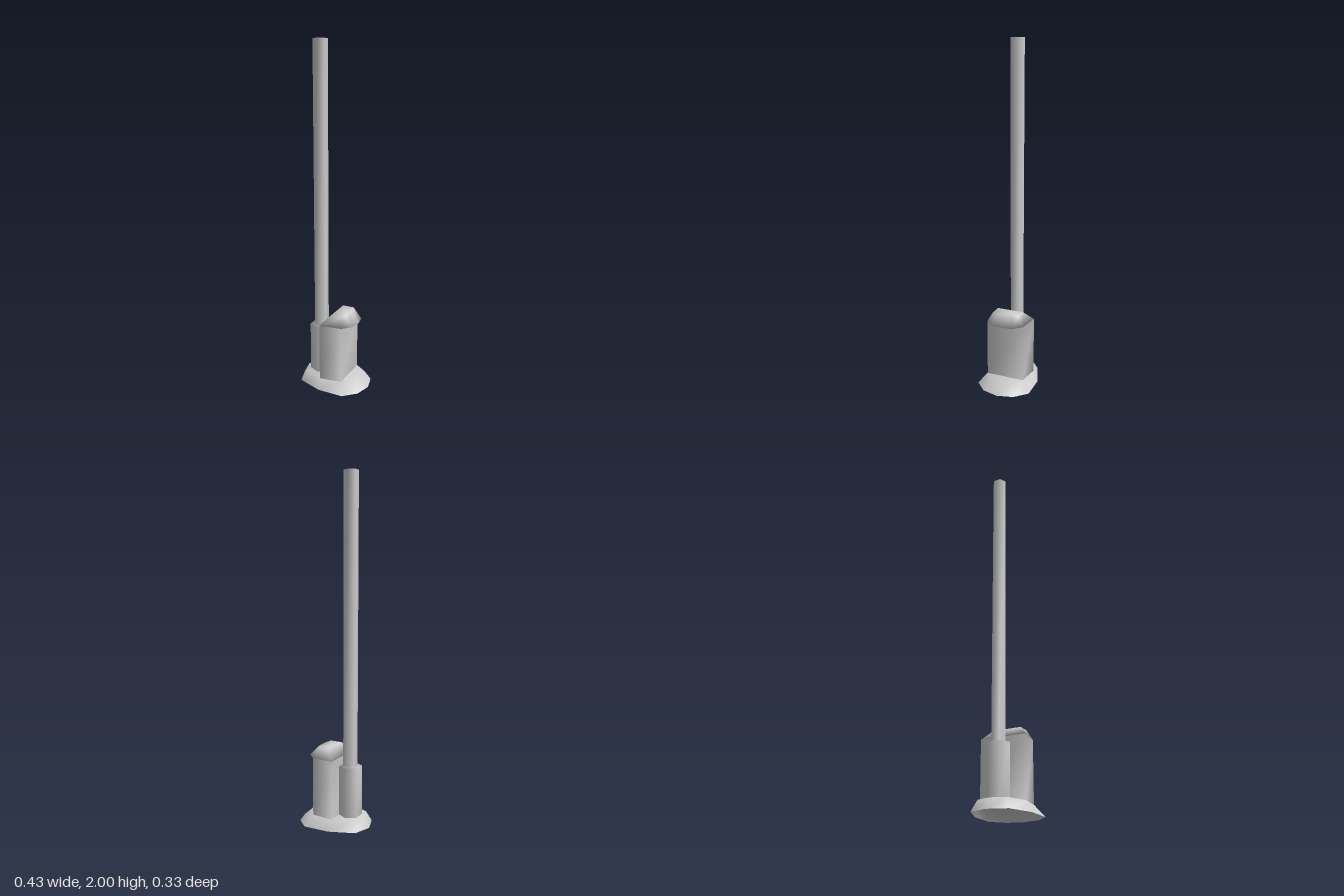
import * as THREE from 'three';
import { mergeVertices } from 'three/addons/utils/BufferGeometryUtils.js';

const material = new THREE.MeshStandardMaterial({ color: 0xcccccc, side: THREE.DoubleSide });

function part(name, geometry) {
  const mesh = new THREE.Mesh(geometry, material);
  mesh.name = name;
  return mesh;
}

// Mirror a half outline of [x, z] points (from -x round +z to +x) into a full ring
function mirrored(half) {
  const back = half.filter(([, z]) => z > 0).reverse().map(([x, z]) => [x, -z]);
  return [...half, ...back];
}

// Join horizontal rings { y, half } from bottom to top, with optional fan caps
function loft(levels, { top = true, bottom = false } = {}) {
  const rings = levels.map(({ half }) => mirrored(half));
  const n = rings[0].length;
  const positions = [];
  const index = [];
  rings.forEach((ring, k) => ring.forEach(([x, z]) => positions.push(x, levels[k].y, z)));
  for (let k = 0; k < rings.length - 1; k++) {
    for (let i = 0; i < n; i++) {
      const a = k * n + i, b = k * n + (i + 1) % n;
      index.push(a, b, b + n, a, b + n, a + n);
    }
  }
  const cap = (k, up) => {
    const centre = positions.length / 3;
    const xs = rings[k].map(([x]) => x);
    positions.push((Math.min(...xs) + Math.max(...xs)) / 2, levels[k].y, 0);
    for (let i = 0; i < n; i++) {
      const a = k * n + i, b = k * n + (i + 1) % n;
      index.push(centre, up ? a : b, up ? b : a);
    }
  };
  if (top) cap(rings.length - 1, true);
  if (bottom) cap(0, false);
  const geometry = new THREE.BufferGeometry();
  geometry.setAttribute('position', new THREE.Float32BufferAttribute(positions, 3));
  geometry.setIndex(index);
  geometry.computeVertexNormals();
  return geometry;
}

// Six-sided prism with fully smooth normals
function hexPrism(radius, y0, y1) {
  let geometry = new THREE.CylinderGeometry(radius, radius, y1 - y0, 6);
  geometry.deleteAttribute('normal');
  geometry.deleteAttribute('uv');
  geometry = mergeVertices(geometry);
  geometry.computeVertexNormals();
  return geometry.translate(-0.092, (y0 + y1) / 2, 0);
}

export function createModel() {
  const model = new THREE.Group();
  model.name = 'rodHolder';

  // Flared foot, open underneath
  const foot = [[-0.215, 0], [-0.18, 0.105], [-0.035, 0.16], [0.12, 0.163], [0.19, 0.095], [0.215, 0]];
  const deck = [[-0.182, 0], [-0.155, 0.08], [-0.04, 0.13], [0.09, 0.113], [0.137, 0.066], [0.148, 0]];
  model.add(part('base', loft([{ y: 0, half: foot }, { y: 0.06, half: deck }])));

  // Upright body
  const wall = [[-0.04, 0.13], [0.09, 0.113]];
  model.add(part('body', loft([{ y: 0.06, half: wall }, { y: 0.4, half: wall }], { top: false })));

  // Bevelled hood overhanging the body
  const lip = [[-0.04, 0.13], [0.09, 0.113], [0.137, 0.066], [0.148, 0]];
  const crown = [[0.01, 0.08], [0.08, 0.08], [0.088, 0.05], [0.09, 0]];
  model.add(part('hood', loft([{ y: 0.4, half: lip }, { y: 0.455, half: crown }], { bottom: true })));

  // Sleeve and the tall rod standing in it
  model.add(part('sleeve', hexPrism(0.068, 0.04, 0.35)));
  model.add(part('rod', hexPrism(0.041, 0.3, 2)));

  return model;
}
